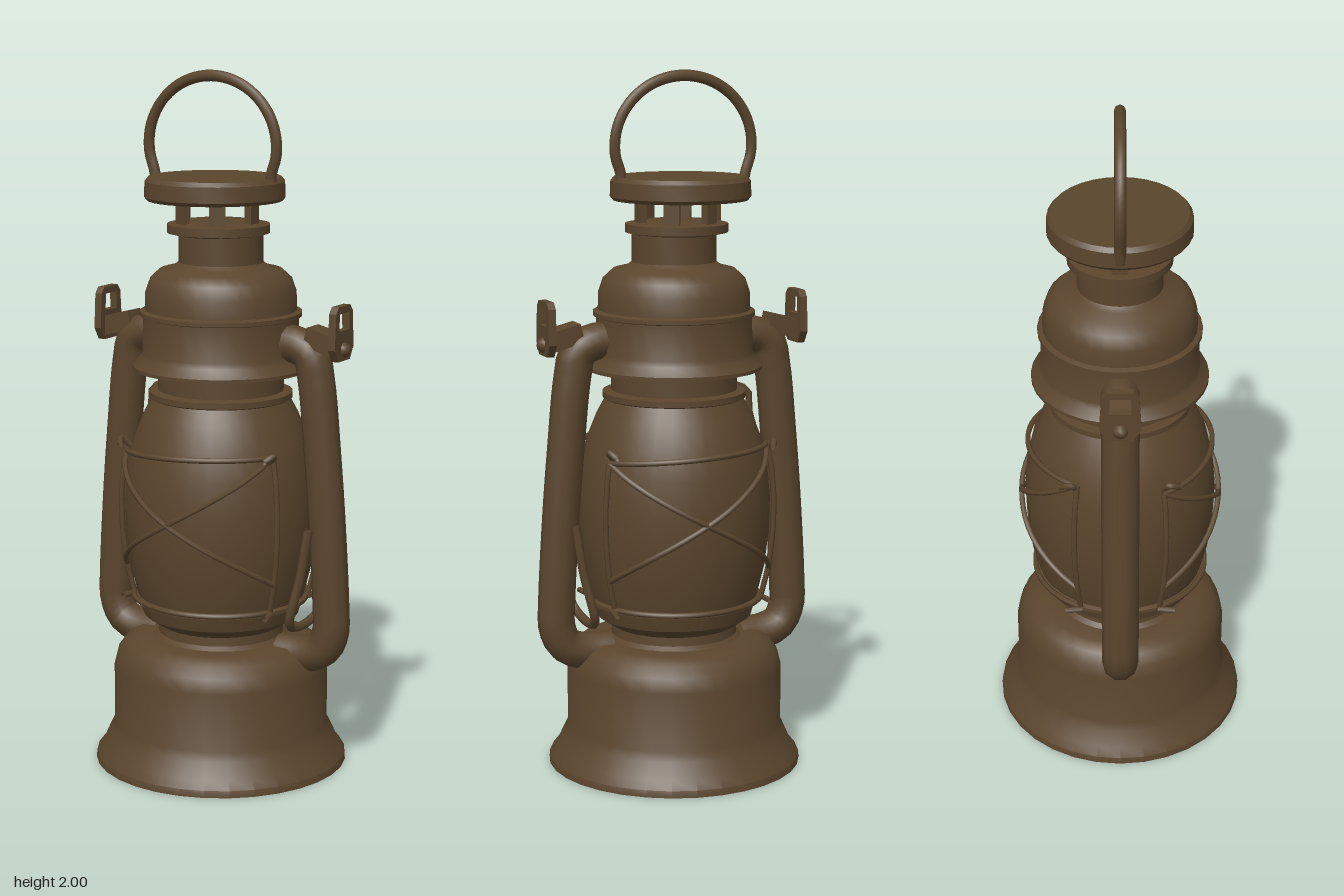
import * as THREE from 'three';
import { toCreasedNormals } from 'three/addons/utils/BufferGeometryUtils.js';

const metal = new THREE.MeshStandardMaterial({ color: 0x5a452d, side: THREE.DoubleSide });
metal.name = 'aged bronze';

// Glass bulb outline as [radius, height], bottom to top
const GLOBE = [[0.18, 0.41], [0.225, 0.44], [0.24, 0.49], [0.262, 0.58], [0.274, 0.68], [0.277, 0.78],
  [0.268, 0.88], [0.25, 0.96], [0.222, 1.03], [0.195, 1.08]];

function globeRadius(y) {
  for (let i = 1; i < GLOBE.length; i++) {
    const [r0, y0] = GLOBE[i - 1], [r1, y1] = GLOBE[i];
    if (y <= y1) return r0 + (r1 - r0) * (y - y0) / (y1 - y0);
  }
  return GLOBE[GLOBE.length - 1][0];
}

export function createModel() {
  const model = new THREE.Group();
  model.name = 'lantern';

  const add = (name, geometry, parent = model) => {
    const mesh = new THREE.Mesh(geometry, metal);
    mesh.name = name;
    parent.add(mesh);
    return mesh;
  };
  const lathe = (name, profile, x = 0, segments = 32) => {
    const g = new THREE.LatheGeometry(profile.map(p => new THREE.Vector2(...p)), segments);
    add(name, toCreasedNormals(g, 0.6)).position.x = x;
  };
  const tube = (name, points, radius, parent = model, steps = 32, sides = 8) => {
    const curve = new THREE.CatmullRomCurve3(points.map(p => new THREE.Vector3(...p)), false, 'centripetal');
    return add(name, new THREE.TubeGeometry(curve, steps, radius, sides), parent);
  };

  // Fuel tank with flared foot
  lathe('fuelTank', [[0, 0], [0.367, 0], [0.365, 0.02], [0.345, 0.045], [0.325, 0.09], [0.312, 0.115],
    [0.312, 0.285], [0.302, 0.325], [0.28, 0.355], [0.245, 0.372], [0.18, 0.375], [0, 0.375]]);
  lathe('burnerNeck', [[0.2, 0.37], [0.182, 0.385], [0.18, 0.425], [0.21, 0.435]]);

  // Bulb, its lower rim and the collar above
  lathe('globe', GLOBE);
  lathe('globeRim', [[0.235, 0.48], [0.254, 0.485], [0.254, 0.495], [0.235, 0.502]]);
  lathe('globeCollar', [[0.19, 1.07], [0.205, 1.078], [0.205, 1.095], [0.18, 1.1], [0.18, 1.17]]);

  // Hood with flared brim, seam band and neck
  lathe('hood', [[0.17, 1.16], [0.252, 1.16], [0.252, 1.17], [0.23, 1.195], [0.224, 1.21], [0.222, 1.31],
    [0.231, 1.313], [0.231, 1.325], [0.217, 1.33], [0.215, 1.38], [0.202, 1.418], [0.175, 1.443],
    [0.135, 1.453], [0.12, 1.465], [0.12, 1.545]]);
  lathe('ventPlate', [[0.11, 1.54], [0.146, 1.548], [0.146, 1.572], [0.115, 1.578], [0, 1.578]], -0.008);

  // Cap on its ring of posts, hollow underneath
  lathe('cap', [[0, 1.652], [0.17, 1.652], [0.172, 1.638], [0.192, 1.638], [0.2, 1.648], [0.198, 1.692],
    [0.188, 1.704], [0, 1.704]], -0.02);
  for (let i = 0; i < 6; i++) {
    const a = (i + 0.5) / 6 * Math.PI * 2;
    const post = add('capPost', new THREE.BoxGeometry(0.045, 0.09, 0.02));
    post.position.set(-0.012 + Math.sin(a) * 0.112, 1.61, Math.cos(a) * 0.112);
    post.rotation.y = a;
  }

  // Carrying ring
  const ring = [];
  for (let i = 0; i <= 16; i++) {
    const a = THREE.MathUtils.degToRad(-40 + 260 * i / 16);
    ring.push([-0.03 + 0.207 * Math.cos(a), 1.79 + 0.194 * Math.sin(a), 0]);
  }
  ring[0] = [0.165, 1.66, 0];
  ring[16] = [-0.21, 1.66, 0];
  tube('carryingRing', ring, 0.016, model, 48);

  // Side frames and ear brackets
  for (const s of [-1, 1]) {
    const side = new THREE.Group();
    side.name = s > 0 ? 'leftFrame' : 'rightFrame';
    model.add(side);
    tube('airTube', [[0.19, 1.25, 0], [0.25, 1.245, 0], [0.29, 1.22, 0], [0.307, 1.15, 0], [0.328, 0.95, 0],
      [0.345, 0.75, 0], [0.36, 0.5, 0], [0.36, 0.43, 0], [0.335, 0.375, 0], [0.28, 0.352, 0], [0.2, 0.35, 0]]
      .map(([x, y, z]) => [x * s, y, z]), 0.053, side, 48, 10);

    // Slotted ear plate, drawn in the z-y plane
    const plate = new THREE.Shape();
    plate.moveTo(-0.035, 1.215);
    plate.lineTo(0.035, 1.215);
    plate.lineTo(0.057, 1.25);
    plate.lineTo(0.05, 1.35);
    plate.lineTo(0.035, 1.368);
    plate.lineTo(-0.035, 1.368);
    plate.lineTo(-0.05, 1.35);
    plate.lineTo(-0.057, 1.25);
    plate.closePath();
    const slot = new THREE.Path();
    slot.moveTo(-0.03, 1.3);
    slot.lineTo(-0.028, 1.348);
    slot.lineTo(0.028, 1.348);
    slot.lineTo(0.03, 1.3);
    slot.closePath();
    plate.holes.push(slot);
    const ear = add('earPlate', new THREE.ExtrudeGeometry(plate, { depth: 0.022, bevelEnabled: false }), side);
    ear.rotation.y = Math.PI / 2;
    ear.position.x = s * 0.382 - 0.011;
    const arm = add('earArm', new THREE.BoxGeometry(0.1, 0.055, 0.07), side);
    arm.position.set(s * 0.335, 1.265, 0);
    arm.rotation.z = -s * 0.25;
    const rivet = add('earRivet', new THREE.SphereGeometry(0.022, 10, 6), side);
    rivet.position.set(s * 0.39, 1.245, 0);
  }

  // Wire guard, front and back: frame and crossed wires hugging the bulb
  const EDGE = 1.1;
  for (const turn of [0, Math.PI]) {
    const guard = new THREE.Group();
    guard.name = turn ? 'backGuard' : 'frontGuard';
    guard.rotation.y = turn;
    model.add(guard);
    const wire = (name, a0, y0, a1, y1, bow = 0) => {
      const pts = [];
      for (let i = 0; i <= 12; i++) {
        const t = i / 12, a = a0 + (a1 - a0) * t;
        const y = y0 + (y1 - y0) * t + bow * Math.sin(Math.PI * t);
        const r = globeRadius(y) + 0.012;
        pts.push([r * Math.sin(a), y, r * Math.cos(a)]);
      }
      tube(name, pts, 0.008, guard, 24, 6);
    };
    wire('topWire', -EDGE, 0.92, EDGE, 0.945, 0.01);
    wire('bottomWire', -EDGE, 0.495, EDGE, 0.495);
    wire('sideWire', -EDGE, 0.495, -EDGE, 0.92);
    wire('sideWire', EDGE, 0.495, EDGE, 0.945);
    wire('crossWire', -EDGE, 0.92, EDGE, 0.58);
    wire('crossWire', -EDGE, 0.58, EDGE, 0.945);
    // Small hooked corners
    for (const s of [-1, 1]) {
      tube('cornerHook', [[s * 0.23, 0.93, 0.12], [s * 0.25, 0.955, 0.14], [s * 0.235, 0.94, 0.17]], 0.009, guard, 8, 6);
      tube('footHook', [[s * 0.23, 0.49, 0.11], [s * 0.235, 0.488, 0.16]], 0.009, guard, 4, 6);
    }
  }

  // Bulb lifter: two prongs either side of the left tube, joined at the foot
  tube('lifterLever', [[0.33, 0.74, 0.085], [0.31, 0.6, 0.095], [0.28, 0.47, 0.1], [0.27, 0.44, 0.05],
    [0.27, 0.44, -0.05], [0.28, 0.47, -0.1], [0.31, 0.6, -0.095], [0.33, 0.74, -0.085]], 0.013, model, 40, 6);

  // Bulb release wire beside the right tube
  tube('releaseWire', [[-0.19, 1.1, 0], [-0.23, 1.08, 0], [-0.235, 1.02, 0], [-0.27, 0.9, 0],
    [-0.288, 0.75, 0], [-0.275, 0.6, 0], [-0.25, 0.49, 0]], 0.01, model, 24, 6);

  return model;
}
